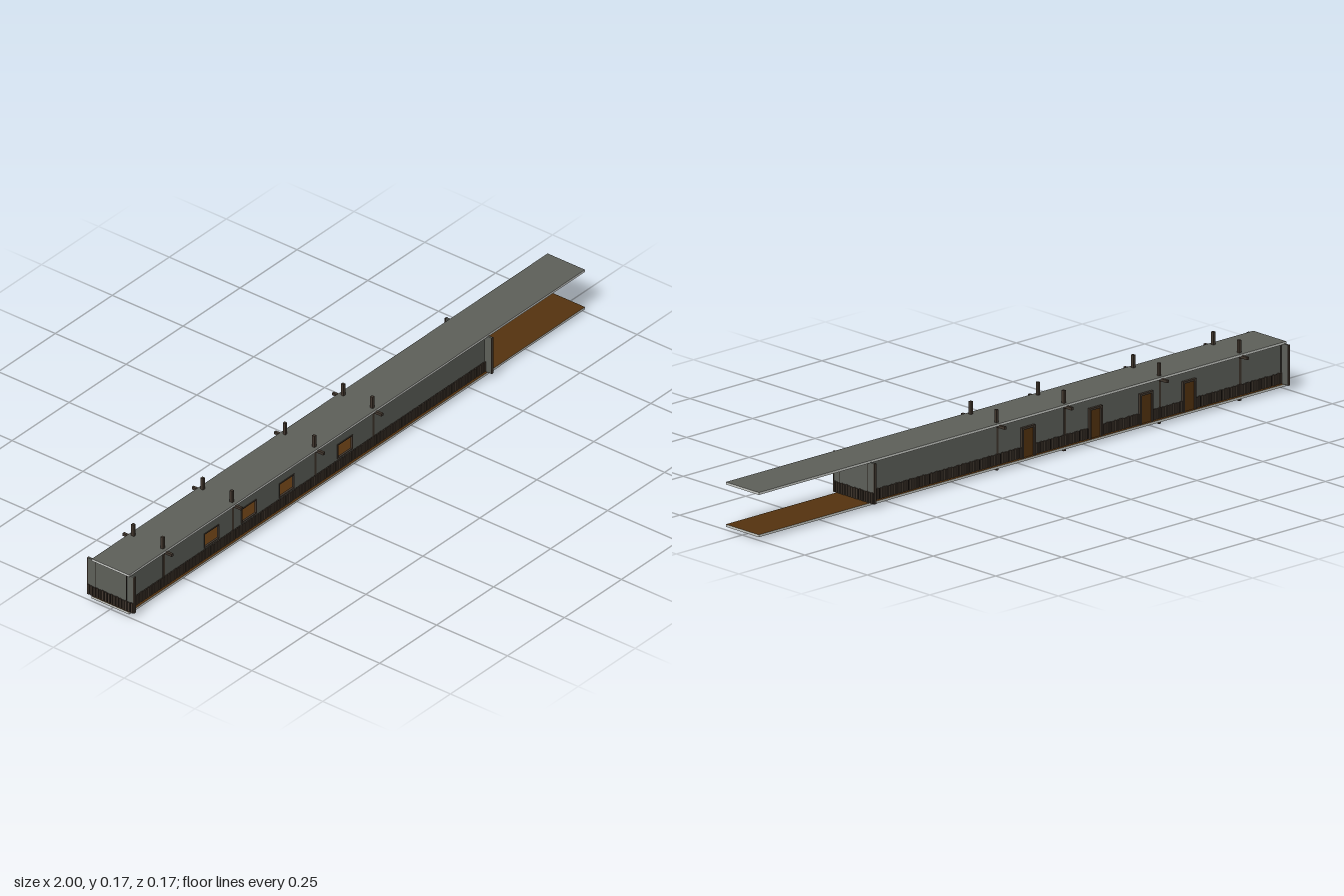
import * as THREE from 'three';

const mat = (name, color) => {
  const m = new THREE.MeshStandardMaterial({ color });
  m.name = name;
  return m;
};

export function createModel() {
  const model = new THREE.Group();
  model.name = 'corridor';
  const gray = mat('plaster gray', 0x5e605a);
  const light = mat('slab edge light gray', 0xcdcfca);
  const brown = mat('floor brown', 0x55330f);
  const wood = mat('dark timber', 0x40362d);
  const shade = mat('gap dark brown', 0x211b16);

  // Box given by its limits on each axis
  const box = (parent, name, m, x0, x1, y0, y1, z0, z1) => {
    const mesh = new THREE.Mesh(new THREE.BoxGeometry(x1 - x0, y1 - y0, z1 - z0), m);
    mesh.position.set((x0 + x1) / 2, (y0 + y1) / 2, (z0 + z1) / 2);
    mesh.name = name;
    parent.add(mesh);
    return mesh;
  };
  const group = (name) => {
    const g = new THREE.Group();
    g.name = name;
    model.add(g);
    return g;
  };

  // Floor and roof slabs: coloured faces, pale edges
  const slab = (name, y0, y1, m) => {
    const mesh = box(model, name, m, -1, 1, y0, y1, -0.066, 0.066);
    mesh.material = [light, light, m, m, light, light];
  };
  slab('floor', 0.009, 0.016, brown);
  slab('roof', 0.131, 0.138, gray);

  const X0 = -0.992, X1 = 0.574;
  const doors = [-0.638, -0.475, -0.283, -0.028];
  const windows = [-0.625, -0.461, -0.296, -0.04];

  // Front wall with window openings
  const shape = new THREE.Shape([
    new THREE.Vector2(X0, 0.016), new THREE.Vector2(X1, 0.016),
    new THREE.Vector2(X1, 0.131), new THREE.Vector2(X0, 0.131),
  ]);
  for (const x of windows) {
    shape.holes.push(new THREE.Path([
      new THREE.Vector2(x - 0.032, 0.052), new THREE.Vector2(x - 0.032, 0.096),
      new THREE.Vector2(x + 0.032, 0.096), new THREE.Vector2(x + 0.032, 0.052),
    ]));
  }
  const front = new THREE.Mesh(
    new THREE.ExtrudeGeometry(shape, { depth: 0.004, bevelEnabled: false }), gray);
  front.position.z = 0.051;
  front.name = 'frontWall';
  model.add(front);

  // Thin window frames
  for (const x of windows) {
    const g = group('windowFrame');
    for (const s of [-1, 1]) {
      box(g, 'jamb', wood, x + s * 0.032 - 0.0015, x + s * 0.032 + 0.0015, 0.051, 0.097, 0.05, 0.057);
      const y = s < 0 ? 0.052 : 0.096;
      box(g, 'rail', wood, x - 0.0335, x + 0.0335, y - 0.0015, y + 0.0015, 0.05, 0.057);
    }
  }

  // Back wall and its doors
  box(model, 'backWall', gray, X0, X1, 0.016, 0.131, -0.055, -0.051);
  for (const x of doors) {
    const g = group('door');
    box(g, 'doorPanel', brown, x - 0.02, x + 0.02, 0.016, 0.1, -0.058, -0.049);
    for (const s of [-1, 1]) {
      box(g, 'doorPost', wood, x + s * 0.022 - 0.003, x + s * 0.022 + 0.003, 0.016, 0.103, -0.063, -0.05);
    }
    box(g, 'doorLintel', wood, x - 0.025, x + 0.025, 0.098, 0.104, -0.063, -0.05);
  }

  // Row of upright boards, slightly uneven in height, over a dark backing
  const slatGeometry = new THREE.BoxGeometry(0.0068, 1, 0.003);
  const slats = (name, length, skip = () => false) => {
    const g = group(name);
    const n = Math.round(length / 0.01);
    for (let i = 0; i < n; i++) {
      const u = ((i + 0.5) / n - 0.5) * length;
      if (skip(u)) continue;
      const h = 0.032 - 0.002 * ((i * 7) % 5) / 4;
      const m = new THREE.Mesh(slatGeometry, wood);
      m.scale.y = h;
      m.position.set(u, 0.017 + h / 2, 0.0035);
      m.name = 'board';
      g.add(m);
    }
    box(g, 'boardBacking', shade, -length / 2, length / 2, 0.017, 0.046, 0, 0.002);
    return g;
  };
  const mid = (X0 + X1) / 2, long = X1 - X0;
  slats('frontBoards', long).position.set(mid, 0, 0.055);
  const back = slats('backBoards', long, (u) => doors.some((d) => Math.abs(mid - u - d) < 0.026));
  back.position.set(mid, 0, -0.055);
  back.rotation.y = Math.PI;

  // End walls, wider than the corridor, boarded on the outside
  for (const [x, s] of [[-0.993, -1], [0.576, 1]]) {
    const g = group('endWall');
    box(g, 'endPanel', gray, x - 0.003, x + 0.003, 0.016, 0.133, -0.083, 0.079);
    for (const z of [-0.084, 0.079]) {
      box(g, 'endEdge', wood, x - 0.004, x + 0.004, 0.016, 0.133, z - 0.001, z + 0.002);
    }
    for (const z of [-0.056, 0.054]) {
      box(g, 'endJoint', shade, x - 0.0036, x + 0.0036, 0.016, 0.131, z - 0.001, z + 0.001);
    }
    const b = slats('endBoards', 0.163);
    b.position.set(x + s * 0.002, 0, -0.002);
    b.rotation.y = s * Math.PI / 2;
  }

  // Posts running through roof and floor, with short outward brackets
  for (const x of [-0.835, -0.531, -0.17, 0.085]) {
    const g = group('postPair');
    for (const s of [-1, 1]) {
      const zi = s * 0.047, zo = s * 0.056;
      box(g, 'post', wood, x - 0.004, x + 0.004, 0, 0.175, Math.min(zi, zo), Math.max(zi, zo));
      const za = s * 0.05, zb = s * 0.087;
      box(g, 'bracket', wood, x - 0.004, x + 0.004, 0.125, 0.133, Math.min(za, zb), Math.max(za, zb));
    }
  }
  return model;
}
